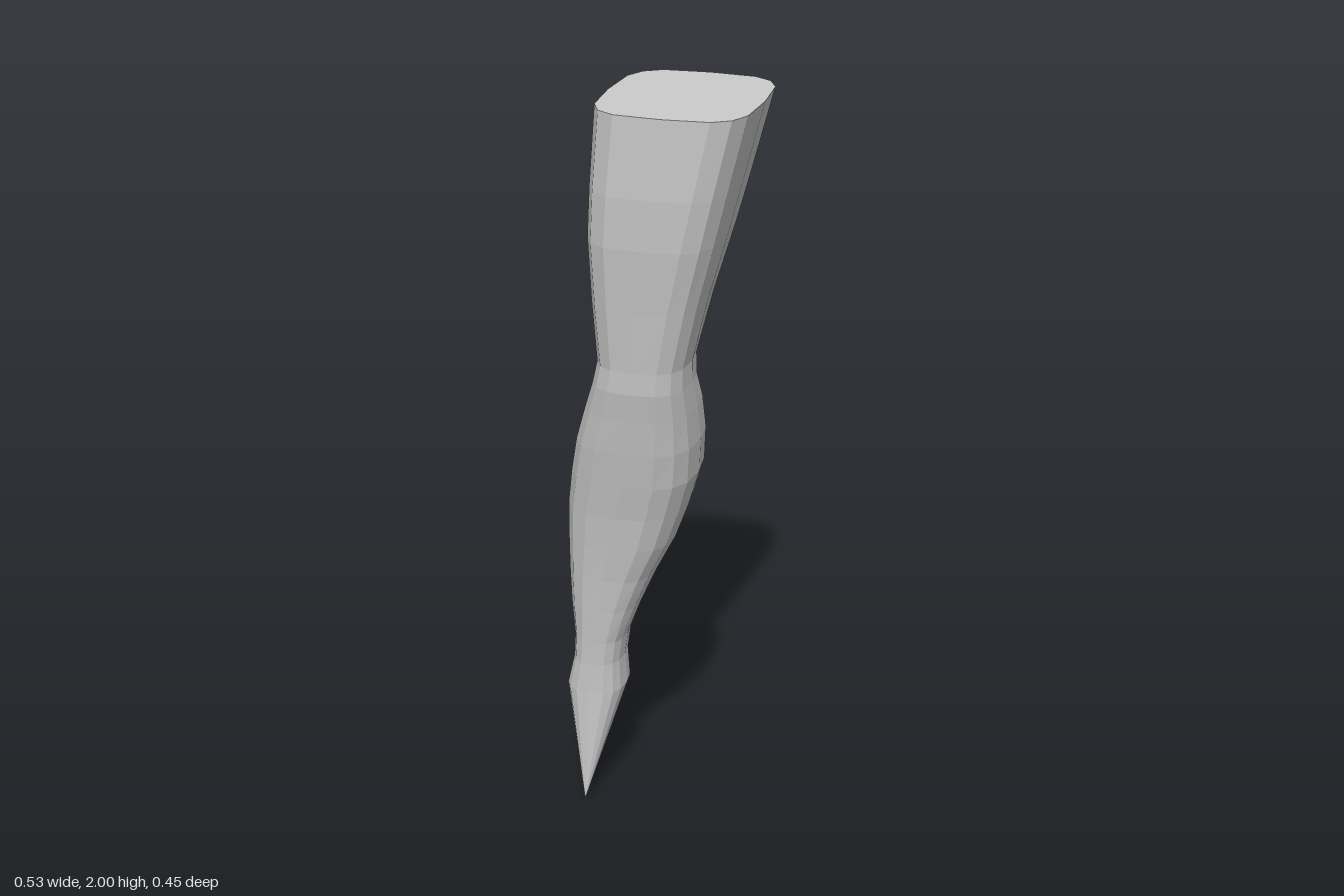
import * as THREE from 'three';

const SIDES = 16;

// Cross-sections from hip to ankle: y, xMin, xMax, zMin, zMax, squareness
const thighSections = [
  [2.0, -0.12, 0.267, -0.215, 0.226, 3.8],
  [1.8, -0.135, 0.217, -0.192, 0.22, 3.7],
  [1.67, -0.143, 0.185, -0.165, 0.21, 3.5],
  [1.5, -0.138, 0.139, -0.12, 0.186, 3.2],
  [1.34, -0.13, 0.102, -0.09, 0.165, 2.8],
];
const calfSections = [
  [1.34, -0.13, 0.102, -0.09, 0.165, 2.8],
  [1.28, -0.145, 0.1, -0.105, 0.16, 2.8],
  [1.2, -0.175, 0.104, -0.16, 0.143, 2.8],
  [1.1, -0.208, 0.105, -0.2, 0.124, 2.8],
  [1.0, -0.23, 0.096, -0.222, 0.102, 2.8],
  [0.9, -0.245, 0.066, -0.225, 0.08, 2.8],
  [0.8, -0.248, 0.03, -0.21, 0.063, 2.8],
  [0.7, -0.248, -0.02, -0.185, 0.047, 2.7],
  [0.6, -0.245, -0.063, -0.165, 0.034, 2.6],
  [0.5, -0.238, -0.1, -0.157, 0.022, 2.6],
];
const footSections = [
  [0.5, -0.238, -0.1, -0.157, 0.022, 2.6],
  [0.43, -0.243, -0.11, -0.158, 0.015, 2.6],
  [0.34, -0.265, -0.107, -0.17, 0.01, 2.6],
];

// One rounded-square ring of points
function ring([y, x0, x1, z0, z1, n]) {
  const curve = (v) => Math.sign(v) * Math.abs(v) ** (2 / n);
  return Array.from({ length: SIDES }, (_, j) => {
    const a = (j / SIDES) * Math.PI * 2;
    return [
      (x0 + x1) / 2 + ((x1 - x0) / 2) * curve(Math.cos(a)),
      y,
      (z0 + z1) / 2 + ((z1 - z0) / 2) * curve(Math.sin(a)),
    ];
  });
}

// Skin a list of sections, optionally closed by a top centre or a bottom point
function loft(name, sections, { top, tip } = {}) {
  const rings = sections.map(ring);
  const positions = [];
  const tri = (...points) => points.forEach((p) => positions.push(...p));
  for (let j = 0; j < SIDES; j++) {
    const k = (j + 1) % SIDES;
    for (let i = 0; i < rings.length - 1; i++) {
      const u = rings[i], l = rings[i + 1];
      tri(u[j], u[k], l[k]);
      tri(u[j], l[k], l[j]);
    }
    if (top) tri(top, rings[0][k], rings[0][j]);
    const last = rings[rings.length - 1];
    if (tip) tri(last[j], last[k], tip);
  }
  const geometry = new THREE.BufferGeometry();
  geometry.setAttribute('position', new THREE.Float32BufferAttribute(positions, 3));
  geometry.computeVertexNormals();
  const material = new THREE.MeshStandardMaterial({ color: 0xcccccc, flatShading: true });
  const mesh = new THREE.Mesh(geometry, material);
  mesh.name = name;
  return mesh;
}

export function createModel() {
  const leg = new THREE.Group();
  leg.name = 'leg';
  // Thigh with its flat cut at the hip
  leg.add(loft('thigh', thighSections, { top: [0.073, 2, 0.005] }));
  // Knee and bulging calf
  leg.add(loft('calf', calfSections));
  // Ankle and foot running down to a pointed toe
  leg.add(loft('pointedFoot', footSections, { tip: [-0.205, 0, 0] }));
  return leg;
}
